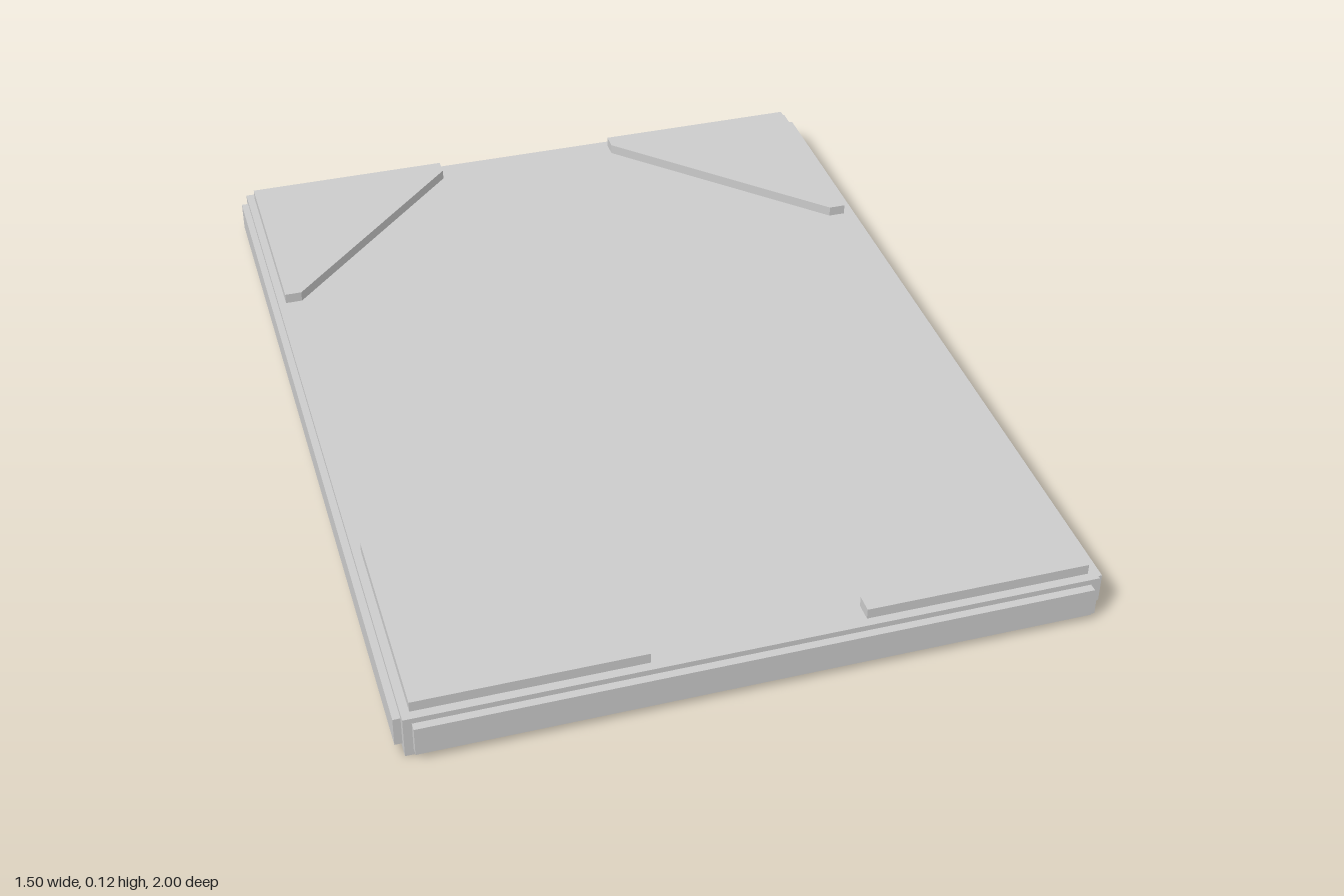
import * as THREE from 'three';

const material = new THREE.MeshStandardMaterial({ color: 0xcccccc, flatShading: true });

function add(group, name, geometry, x = 0, y = 0, z = 0) {
  const mesh = new THREE.Mesh(geometry, material);
  mesh.name = name;
  mesh.position.set(x, y, z);
  group.add(mesh);
}

// Flat triangular plate with blunted tips, mirrored into one corner by the signs
function cornerPlateGeometry(sx, sz, depth) {
  const outline = [
    [0.716, 0.962], [0.228, 0.962], [0.228, 0.922], [0.677, 0.473], [0.716, 0.473],
  ];
  const shape = new THREE.Shape(outline.map(([x, z]) => new THREE.Vector2(x * sx, -z * sz)));
  return new THREE.ExtrudeGeometry(shape, { depth, bevelEnabled: false }).rotateX(-Math.PI / 2);
}

export function createModel() {
  const model = new THREE.Group();
  model.name = 'panel';

  // Main slab
  const top = 0.097;
  add(model, 'slab', new THREE.BoxGeometry(1.468, top, 1.964), 0, top / 2, 0);

  // Raised bands on the four edges
  const bandHeight = 0.068, bandY = 0.05;
  for (const s of [-1, 1]) {
    const side = s > 0 ? 'left' : 'right';
    const end = s > 0 ? 'front' : 'back';
    add(model, side + 'Band', new THREE.BoxGeometry(0.016, bandHeight, 1.924), s * 0.742, bandY, 0);
    add(model, end + 'Band', new THREE.BoxGeometry(1.432, bandHeight, 0.018), 0, bandY, s * 0.991);
  }

  // Corner plates on the top face
  for (const sx of [-1, 1]) {
    for (const sz of [-1, 1]) {
      const name = (sz > 0 ? 'front' : 'back') + (sx > 0 ? 'Left' : 'Right') + 'CornerPlate';
      add(model, name, cornerPlateGeometry(sx, sz, 0.024), 0, top, 0);
    }
  }
  return model;
}
